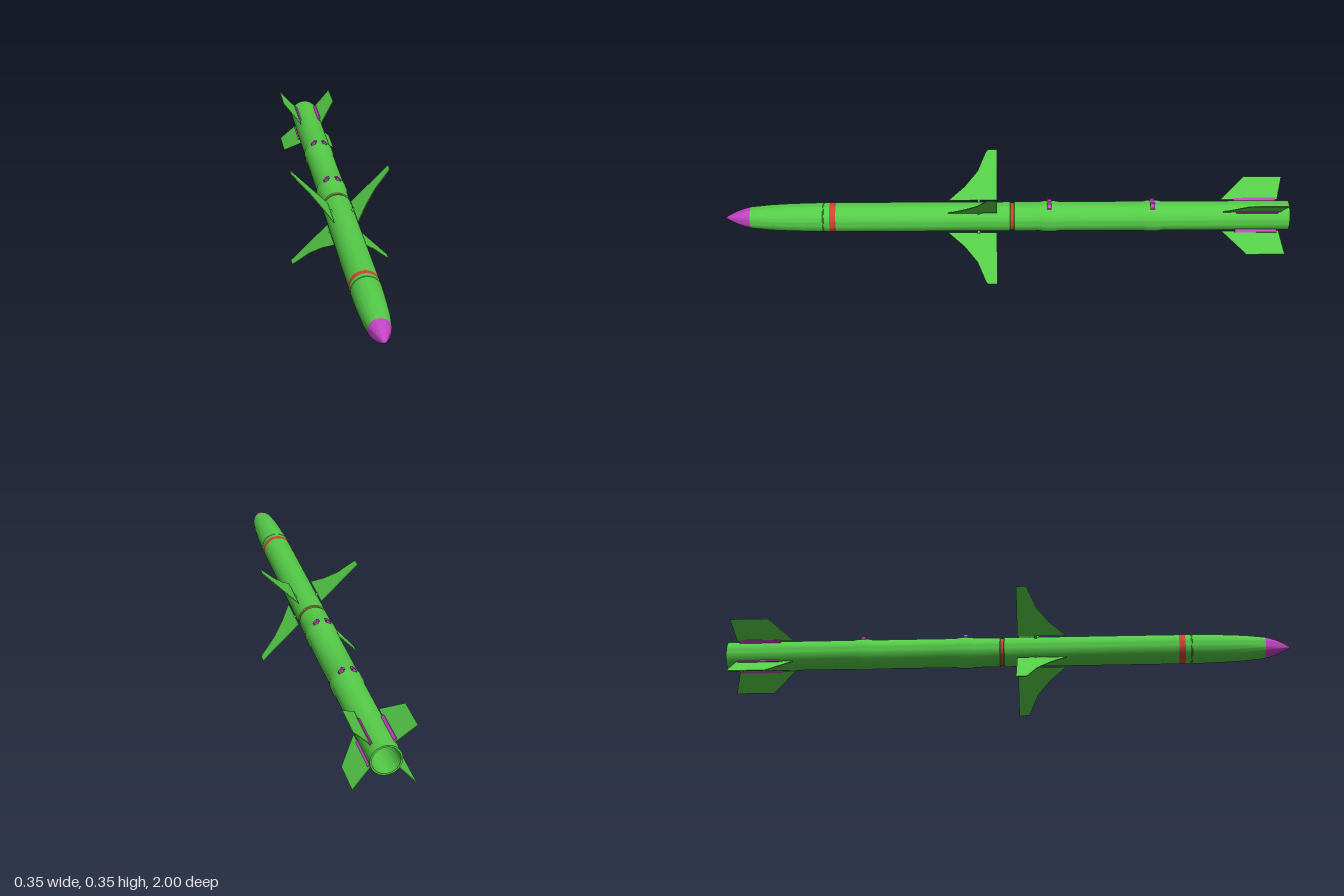
import * as THREE from 'three';
import { toCreasedNormals } from 'three/addons/utils/BufferGeometryUtils.js';

const AXIS_Y = 0.175, R = 0.052;
const paint = (color, side = THREE.FrontSide) =>
  new THREE.MeshStandardMaterial({ color, side });
const green = paint(0x55cc48), purple = paint(0xc244c2), red = paint(0xd04434);

export function createModel() {
  const model = new THREE.Group();
  model.name = 'missile';
  const craft = new THREE.Group();
  craft.name = 'airframe';
  craft.position.y = AXIS_Y;
  model.add(craft);

  function add(name, geometry, material, parent = craft) {
    const mesh = new THREE.Mesh(geometry, material);
    mesh.name = name;
    parent.add(mesh);
    return mesh;
  }

  // Turned part along the long axis, profile as [radius, z] from back to front
  function turned(name, profile, material) {
    const points = profile.map(([r, z]) => new THREE.Vector2(r, z));
    const geo = new THREE.LatheGeometry(points, 48).rotateX(Math.PI / 2);
    return add(name, toCreasedNormals(geo, 0.5), material);
  }

  // Low smooth swelling of the tube around a lug
  const swelling = z => [[R, z - 0.035], [0.0552, z - 0.02], [0.0552, z + 0.02], [R, z + 0.035]];

  // Rear tube with open exhaust
  turned('rearBody', [
    [0, -0.8], [0.046, -0.8], [0.046, -1], [R, -1],
    ...swelling(-0.515), ...swelling(-0.15),
    [R, -0.027], [0.049, -0.025],
  ], green);
  turned('middleBand', [[0.049, -0.026], [0.049, -0.012]], red);
  turned('frontBody', [[0.049, -0.013], [R, -0.011], [R, 0.606]], green);
  turned('noseBand', [[R, 0.606], [R, 0.628]], red);

  // Tapered nose with a fine seam, then the coloured tip
  turned('nose', [
    [R, 0.628], [R, 0.648], [0.0505, 0.649], [0.0505, 0.651], [0.0518, 0.652],
    [0.051, 0.7], [0.0488, 0.77], [0.0452, 0.84], [0.038, 0.91],
  ], green);
  turned('noseTip', [[0.038, 0.91], [0.033, 0.93], [0.0235, 0.957], [0.011, 0.983], [0, 1]], purple);

  // Flat fin from an outline of [radius, z]
  function finGeometry(outline, thickness) {
    const shape = new THREE.Shape(outline.map(p => new THREE.Vector2(...p)));
    return new THREE.ExtrudeGeometry(shape, { depth: thickness, bevelEnabled: false })
      .translate(0, 0, -thickness / 2).rotateX(Math.PI / 2);
  }
  const wing = finGeometry([
    [0.059, 0.035], [0.245, 0.035], [0.245, 0.068], [0.236, 0.075],
    [0.165, 0.105], [0.11, 0.15], [0.059, 0.208],
  ], 0.0025);
  const tailFin = finGeometry([
    [0.057, -0.965], [0.142, -0.984], [0.142, -0.848], [0.057, -0.762],
  ], 0.0025);

  // Four wings and four tail fins in an X
  for (let i = 0; i < 4; i++) {
    const arm = new THREE.Group();
    arm.name = 'finSet' + (i + 1);
    arm.rotation.z = Math.PI / 4 + i * Math.PI / 2;
    craft.add(arm);
    add('wing', wing, green, arm);
    const pivot = add('wingPivot', new THREE.CylinderGeometry(0.005, 0.005, 0.014, 12), green, arm);
    pivot.rotation.z = Math.PI / 2;
    pivot.position.set(0.055, 0, 0.1);
    add('tailFin', tailFin, green, arm);
    const mount = add('tailFinMount', new THREE.BoxGeometry(0.014, 0.009, 0.148), purple, arm);
    mount.position.set(0.056, 0, -0.884);
  }

  // Hanger lugs: mirrored hooked brackets on top of each swelling
  for (const z of [-0.15, -0.515]) {
    for (const side of [-1, 1]) {
      const outline = [[0.03, 0.044], [0.03, 0.051], [0.019, 0.063], [0.01, 0.063],
        [0.01, 0.061], [0.015, 0.06], [0.012, 0.05]];
      const shape = new THREE.Shape(outline.map(([x, y]) => new THREE.Vector2(side * x, y)));
      const geo = new THREE.ExtrudeGeometry(shape, { depth: 0.016, bevelEnabled: false });
      add(side > 0 ? 'leftLug' : 'rightLug', geo, purple).position.z = z - 0.008;
    }
  }
  return model;
}
